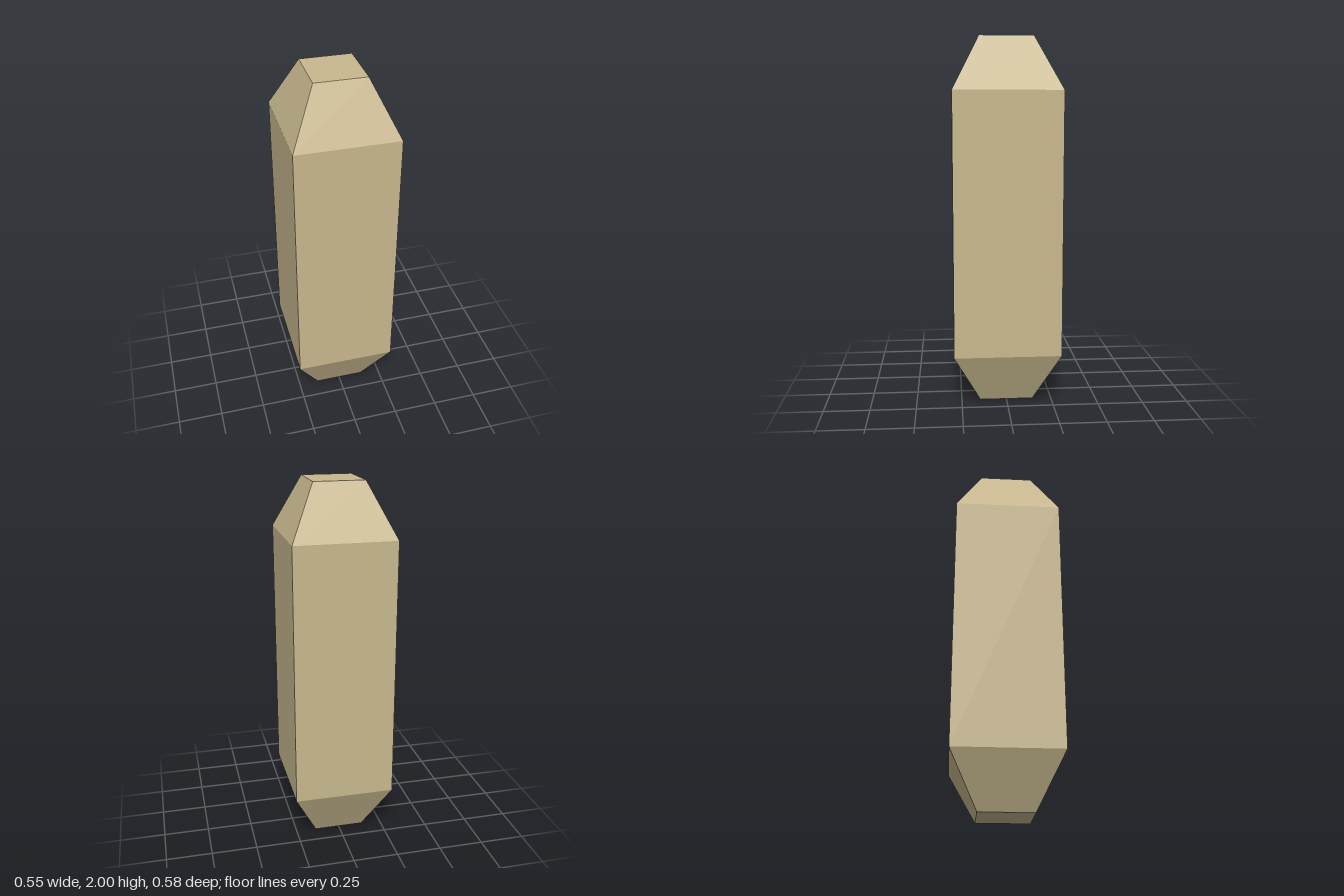
import * as THREE from 'three';

const HALF_X = 0.275, HALF_Z = 0.292; // half width and depth of the shaft
const SHOULDER = 0.713;               // shaft half height
const TAPER = 0.5;                    // end caps shrink to half size

export function createModel() {
  const group = new THREE.Group();
  group.name = 'crystal';

  // Box with three height bands; the outer bands taper towards the ends
  const box = new THREE.BoxGeometry(HALF_X * 2, 2, HALF_Z * 2, 1, 3, 1);
  const pos = box.attributes.position;
  for (let i = 0; i < pos.count; i++) {
    const y = pos.getY(i);
    const isEnd = Math.abs(y) > 0.9;
    const s = isEnd ? TAPER : 1;
    pos.setXYZ(i, pos.getX(i) * s, Math.sign(y) * (isEnd ? 1 : SHOULDER), pos.getZ(i) * s);
  }

  // Separate faces so every facet keeps a hard edge
  const geometry = box.toNonIndexed();
  geometry.translate(0, 1, 0);
  geometry.computeVertexNormals();

  const material = new THREE.MeshStandardMaterial({ color: 0xc8b88e, flatShading: true });
  const body = new THREE.Mesh(geometry, material);
  body.name = 'crystalBody';
  group.add(body);
  return group;
}
